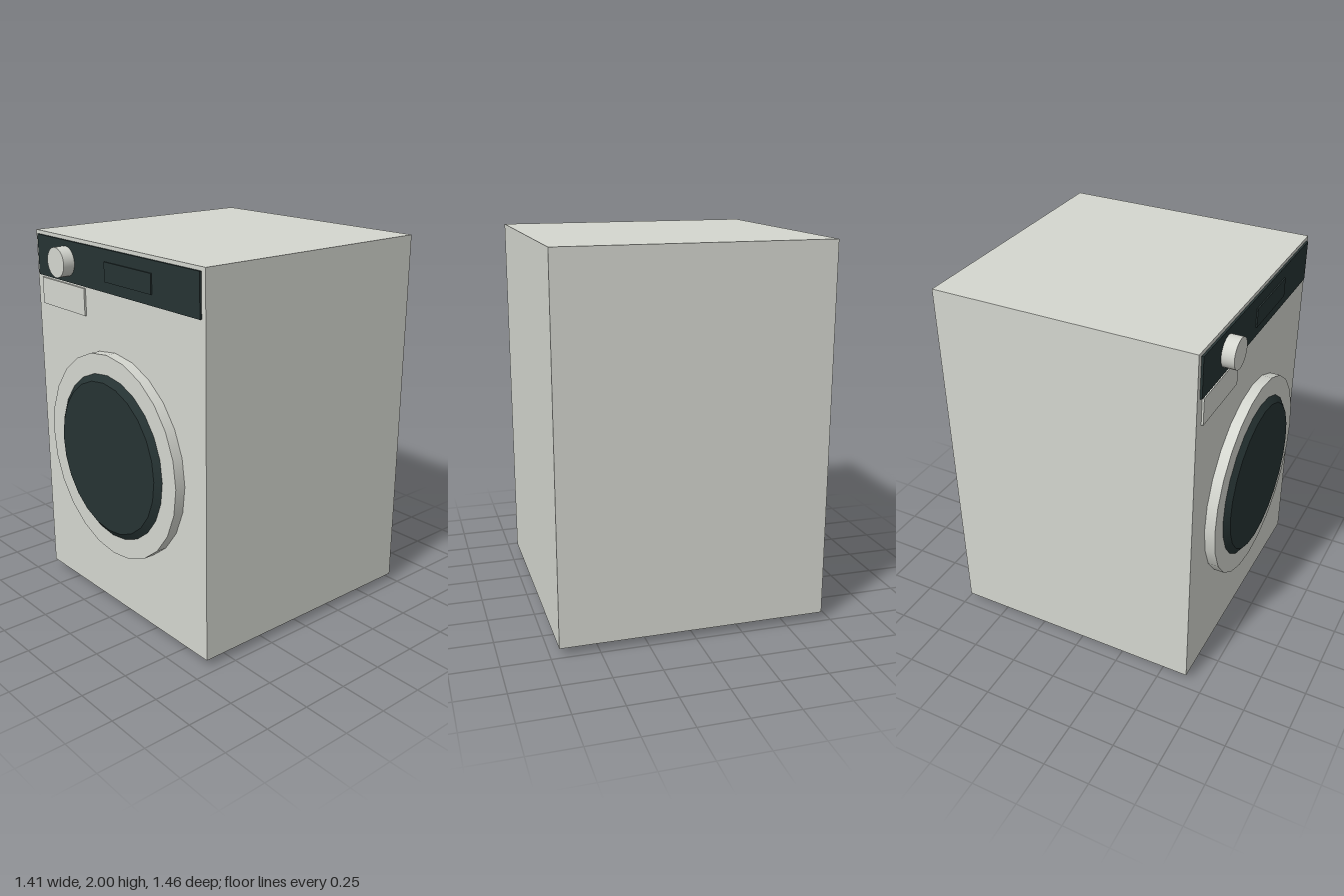
import * as THREE from 'three';

export function createModel() {
  const group = new THREE.Group();
  const material = (name, color) => {
    const m = new THREE.MeshStandardMaterial({ color });
    m.name = name;
    return m;
  };
  const enamel = material('offWhiteEnamel', 0xd4d6cf);
  const dark = material('darkGlass', 0x263333);

  const add = (name, geometry, mat, x, y, z) => {
    const mesh = new THREE.Mesh(geometry, mat);
    mesh.name = name;
    mesh.position.set(x, y, z);
    group.add(mesh);
    return mesh;
  };
  const box = (name, mat, w, h, d, x, y, z) =>
    add(name, new THREE.BoxGeometry(w, h, d), mat, x, y, z);
  // Disc whose axis points to the front
  const disc = (name, mat, rFront, rBack, depth, sides, x, y, z) =>
    add(name, new THREE.CylinderGeometry(rFront, rBack, depth, sides).rotateX(Math.PI / 2), mat, x, y, z);

  // Cabinet
  box('cabinet', enamel, 1.41, 1.96, 1.38, 0, 1.02, -0.04);

  // Control strip, display, knob and detergent drawer
  box('controlPanel', dark, 1.355, 0.215, 0.012, 0, 1.873, 0.655);
  box('display', dark, 0.38, 0.1, 0.008, 0.14, 1.87, 0.664);
  disc('knob', enamel, 0.078, 0.078, 0.066, 32, -0.403, 1.873, 0.692);
  box('detergentDrawer', enamel, 0.4, 0.142, 0.01, -0.45, 1.683, 0.655);

  // Round door with bevelled glass
  disc('doorRing', enamel, 0.545, 0.545, 0.055, 24, 0, 0.921, 0.6775);
  disc('doorGlass', dark, 0.405, 0.44, 0.025, 24, 0, 0.921, 0.7175);

  // Feet
  for (const x of [-0.59, 0.59]) {
    for (const z of [-0.583, 0.505]) {
      add('foot', new THREE.CylinderGeometry(0.043, 0.043, 0.04, 12), dark, x, 0.02, z);
    }
  }
  return group;
}
